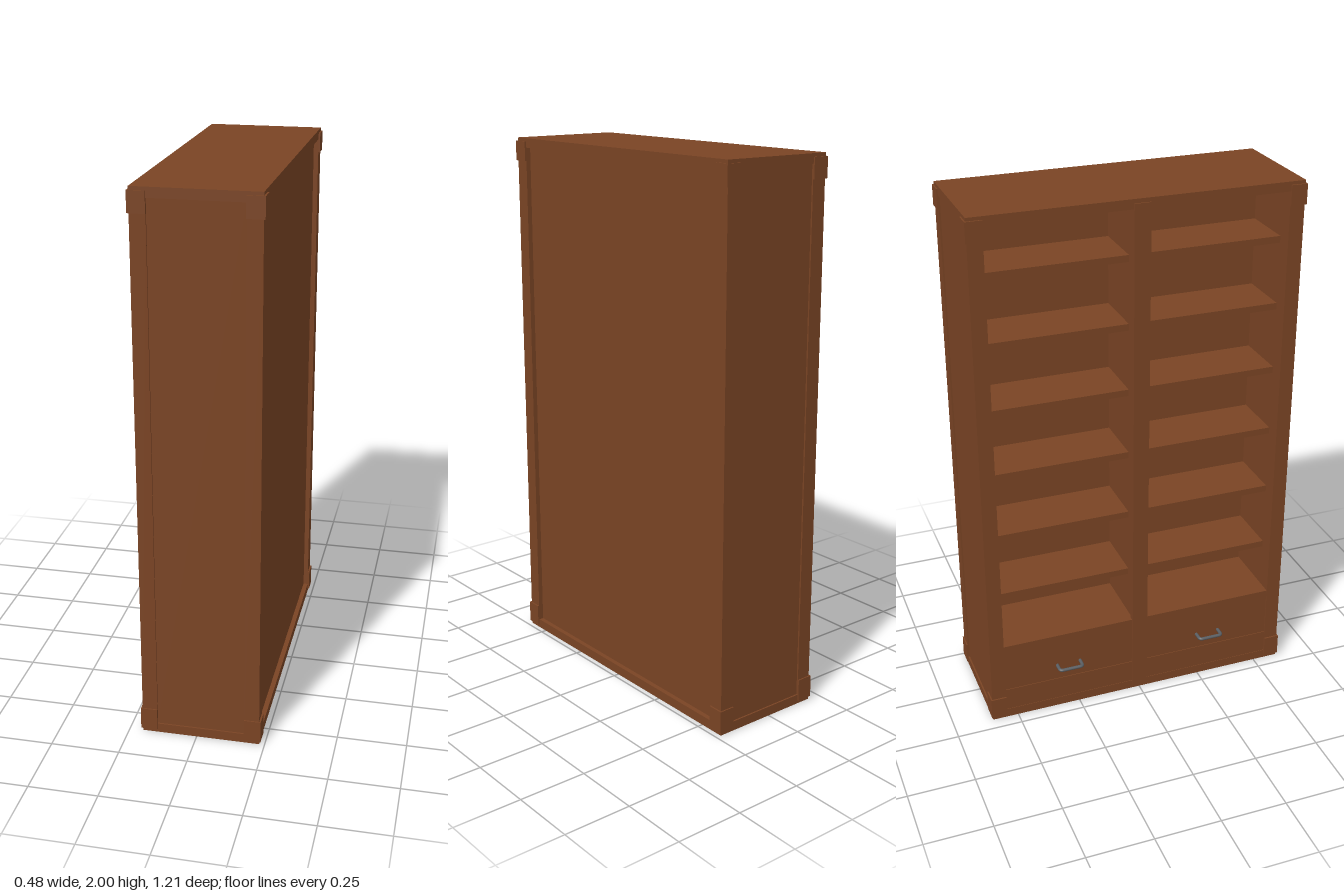
import * as THREE from 'three';

export function createModel() {
  const model = new THREE.Group();
  const wood = new THREE.MeshStandardMaterial({ color: 0x7a4424 });
  wood.name = 'brown wood';
  const metal = new THREE.MeshStandardMaterial({ color: 0x5a5e62 });
  metal.name = 'grey metal';

  // Box given by its limits on each axis
  const box = (name, x0, x1, y0, y1, z0, z1) => {
    const mesh = new THREE.Mesh(new THREE.BoxGeometry(x1 - x0, y1 - y0, z1 - z0), wood);
    mesh.position.set((x0 + x1) / 2, (y0 + y1) / 2, (z0 + z1) / 2);
    mesh.name = name;
    model.add(mesh);
    return mesh;
  };

  const front = -0.2, back = 0.23, half = 0.6, post = 0.055, slab = 0.035;
  const innerBack = 0.07;

  // Top and bottom slabs, back panel set into the frame
  box('topSlab', front, back, 2 - slab, 2, -half, half);
  box('bottomSlab', front, back, 0, slab, -half, half);
  box('backPanel', innerBack, back - 0.018, slab, 2 - slab, -half + 0.03, half - 0.03);

  // Centre divider with its front stile
  box('divider', front + 0.005, innerBack, slab, 2 - slab, -0.025, 0.025);
  box('centreStile', front - 0.005, front + 0.02, 0.01, 1.985, -0.03, 0.03);

  for (const s of [-1, 1]) {
    const span = (name, x0, x1, y0, y1, a, b) =>
      box(name, x0, x1, y0, y1, Math.min(s * a, s * b), Math.max(s * a, s * b));

    // Corner posts and recessed side panel
    span('openSidePost', front, front + post, slab, 2 - slab, half - post, half);
    span('backPost', back - post, back, slab, 2 - slab, half - post, half);
    span('sidePanel', front + post, back - post, slab, 2 - slab, half - post, half - 0.006);

    // L-shaped corner brackets
    for (const [y0, y1] of [[0.012, 0.095], [1.915, 1.988]]) {
      span('bracket', front - 0.006, front + post, y0, y1, half, half + 0.005);
      span('bracket', back - post, back + 0.006, y0, y1, half, half + 0.005);
      span('bracket', front - 0.006, front, y0, y1, half - post, half);
      span('bracket', back, back + 0.006, y0, y1, half - post, half);
    }

    // Shelves
    for (let i = 0; i < 6; i++) {
      const top = 1.787 - i * 0.2525;
      span('shelf', -0.14, innerBack, top - 0.025, top, 0.025, half - post);
    }

    // Drawer, its cover board and the plinth
    span('drawerCover', front + 0.002, innerBack, 0.3, 0.325, 0.025, half - post);
    span('drawer', front + 0.005, innerBack, 0.125, 0.3, 0.03, half - post);
    span('plinth', front + 0.002, innerBack, slab, 0.125, 0.025, half - post);

    // Bent bar handle
    const w = 0.046, x = -0.234, r = 0.012;
    const path = new THREE.CurvePath();
    const v = (px, pz) => new THREE.Vector3(px, 0, pz);
    path.add(new THREE.LineCurve3(v(front + 0.01, -w), v(x + r, -w)));
    path.add(new THREE.QuadraticBezierCurve3(v(x + r, -w), v(x, -w), v(x, -w + r)));
    path.add(new THREE.LineCurve3(v(x, -w + r), v(x, w - r)));
    path.add(new THREE.QuadraticBezierCurve3(v(x, w - r), v(x, w), v(x + r, w)));
    path.add(new THREE.LineCurve3(v(x + r, w), v(front + 0.01, w)));
    const handle = new THREE.Mesh(new THREE.TubeGeometry(path, 48, 0.0065, 10), metal);
    handle.position.set(0, 0.187, s * 0.29);
    handle.name = 'drawerHandle';
    model.add(handle);
  }

  return model;
}
